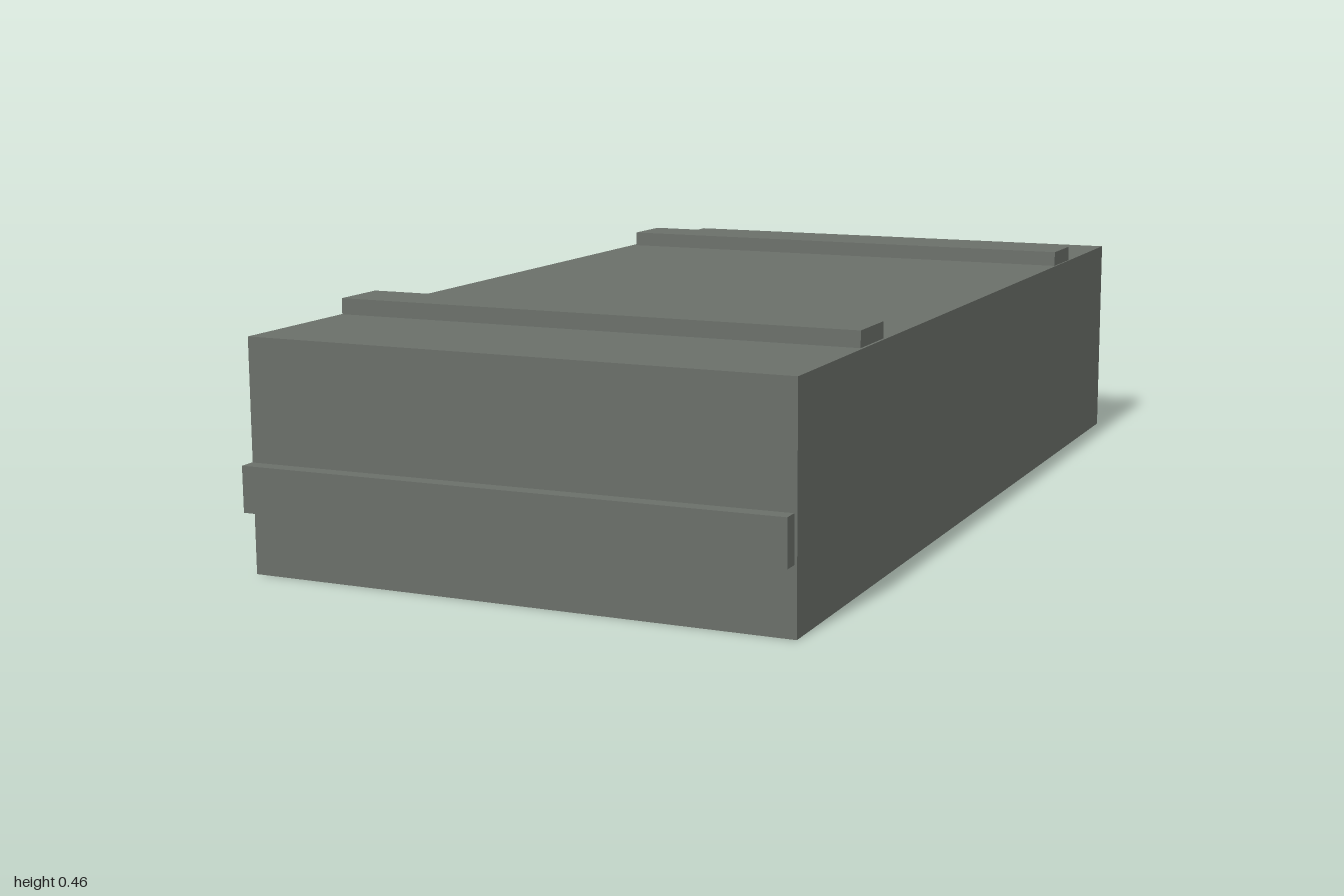
import * as THREE from 'three';

export function createModel() {
  const model = new THREE.Group();
  model.name = 'crate';
  const paint = new THREE.MeshStandardMaterial({ color: 0x6a6f69 });
  paint.name = 'grey green paint';

  function addBox(name, size, position, rotation = [0, 0, 0]) {
    const mesh = new THREE.Mesh(new THREE.BoxGeometry(...size), paint);
    mesh.name = name;
    mesh.position.set(...position);
    mesh.rotation.set(...rotation);
    model.add(mesh);
  }

  // Main box
  addBox('crateBody', [1.026, 0.425, 1.94], [0, 0.2125, 0]);

  // Battens across the lid, nailed on very slightly askew
  addBox('frontLidBatten', [1.02, 0.032, 0.115], [-0.002, 0.439, 0.618], [0, 0.004, 0]);
  addBox('backLidBatten', [1.014, 0.032, 0.115], [0.003, 0.439, -0.616], [0, -0.004, 0]);

  // Carrying battens on the two ends
  addBox('frontEndBatten', [1.022, 0.084, 0.032], [-0.003, 0.162, 0.984], [0, 0, 0.0045]);
  addBox('backEndBatten', [1.02, 0.084, 0.032], [-0.005, 0.162, -0.984]);

  return model;
}
